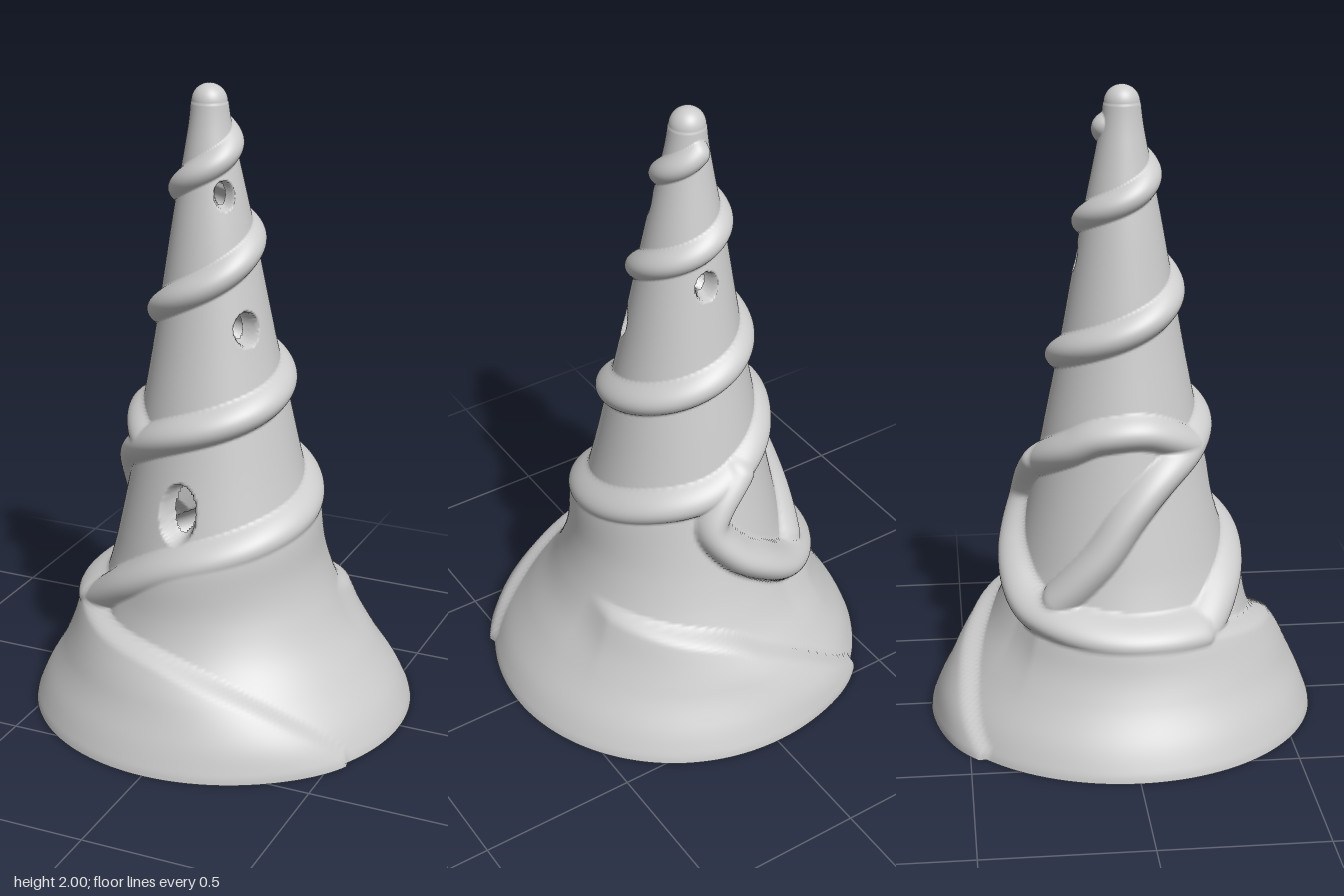
import * as THREE from 'three';

const DEG = Math.PI / 180, TAU = Math.PI * 2;
const spline = (pts, n) => new THREE.SplineCurve(pts.map(p => new THREE.Vector2(p[0], p[1]))).getPoints(n);
const lerpAt = (pts, x) => {
  if (x <= pts[0].x) return pts[0].y;
  for (let i = 1; i < pts.length; i++) {
    const a = pts[i - 1], b = pts[i];
    if (x <= b.x) return a.y + (b.y - a.y) * (x - a.x) / (b.x - a.x);
  }
  return pts[pts.length - 1].y;
};

// Smooth spire: height -> radius
const profile = spline([[0, 0.612], [0.03, 0.603], [0.1, 0.567], [0.2, 0.495], [0.3, 0.425], [0.4, 0.378], [0.5, 0.344],
  [0.6, 0.318], [0.8, 0.272], [1, 0.232], [1.2, 0.192], [1.4, 0.156], [1.6, 0.12], [1.8, 0.08], [1.9, 0.062], [2, 0.052]], 150);
const CAP = 0.055;
function baseRadius(y) {
  const r = lerpAt(profile, y), k = y - (2 - CAP);
  return k > 0 ? Math.min(r, Math.sqrt(Math.max(0, CAP * CAP - k * k))) : r;
}
const axisX = y => -0.024 * y;

// Raised cords: [angle from the front towards +x in degrees, height]
const ridges = [
  { // main climbing spiral
    boost: 1, pts: [[232, 0.47], [252, 0.6], [270, 0.735], [290, 0.83], [315, 0.895], [360, 0.975], [450, 1.08], [540, 1.18],
      [630, 1.28], [720, 1.4], [810, 1.52], [900, 1.6], [990, 1.67], [1080, 1.75], [1170, 1.82], [1260, 1.88]] },
  { // lower turn, joining the main spiral on the right-hand side
    boost: 1, pts: [[-55, 0.38], [-30, 0.48], [0, 0.57], [45, 0.645], [90, 0.705], [130, 0.765], [170, 0.81], [200, 0.87],
      [225, 0.92], [250, 0.97], [285, 0.98], [320, 0.92]] },
  { // loop at the back
    boost: 1.3, pts: [[190, 0.85], [174, 0.77], [168, 0.69], [180, 0.59], [197, 0.51], [215, 0.44], [233, 0.41], [265, 0.38], [300, 0.375]] },
].map(r => ({ boost: r.boost, pts: spline(r.pts.map(p => [p[0] * DEG, p[1]]), r.pts.length * 10) }));

function ridgeHeight(phi, y, radius) {
  const w = 0.07 - 0.017 * y;
  let best = 0;
  for (const { pts, boost } of ridges) {
    let d2 = 1;
    for (let i = 1; i < pts.length; i++) {
      const a = pts[i - 1], b = pts[i];
      if (y < Math.min(a.y, b.y) - w || y > Math.max(a.y, b.y) + w) continue;
      const bx = (b.x - a.x) * radius, by = b.y - a.y;
      for (let k = -1; k < 4; k++) {
        const px = (phi + k * TAU - a.x) * radius, py = y - a.y;
        const t = Math.min(1, Math.max(0, (px * bx + py * by) / (bx * bx + by * by + 1e-9)));
        d2 = Math.min(d2, (px - t * bx) ** 2 + (py - t * by) ** 2);
      }
    }
    const s = 1 - d2 / (w * w);
    if (s > 0) best = Math.max(best, boost * (0.06 - 0.018 * y) * Math.pow(s, 0.9));
  }
  return best;
}

// Overlapping lips: sharp above the edge, fading slowly below it [angle, height, depth]
const lips = [
  // front and back edges of the skirt
  [[-150, 0.39, 0.02], [-120, 0.385, 0.045], [-90, 0.38, 0.06], [-60, 0.36, 0.055], [-30, 0.325, 0.055], [0, 0.285, 0.05],
    [30, 0.2, 0.037], [50, 0.1, 0.025], [62, 0, 0.015]],
  [[98, 0.375, 0], [115, 0.37, 0.025], [140, 0.35, 0.042], [168, 0.31, 0.05], [185, 0.24, 0.045], [202, 0.15, 0.035], [222, 0, 0.018]],
  // swelling below the lower turn
  [[-50, 0.4, 0], [-25, 0.5, 0.025], [0, 0.57, 0.045], [45, 0.645, 0.04], [90, 0.705, 0.035], [130, 0.765, 0.02], [165, 0.8, 0]],
].map(l => ({
  from: l[0][0] * DEG, to: l[l.length - 1][0] * DEG,
  edge: spline(l.map(p => [p[0] * DEG, p[1]]), 70),
  height: spline(l.map(p => [p[0] * DEG, p[2]]), 70),
}));
function lipHeight(phi, y) {
  let best = 0;
  for (const l of lips) {
    for (const p of [phi - TAU, phi]) {
      if (p < l.from || p > l.to) continue;
      const d = lerpAt(l.edge, p) - y;
      const f = d >= 0 ? Math.exp(-((d / 0.15) ** 2)) : Math.max(0, 1 - (d / 0.035) ** 2);
      best = Math.max(best, lerpAt(l.height, p) * f * Math.min(1, (p - l.from) / 0.3));
    }
  }
  return best;
}

// Windows: angle, height, half width, half height
const windows = [[-2, 0.725, 0.06, 0.092], [58, 1.28, 0.046, 0.052], [46, 1.68, 0.034, 0.043], [176, 1.475, 0.038, 0.045]];
function windowDistance(phi, y, radius) {
  let best = 9;
  for (const [deg, wy, hw, hh] of windows) {
    let a = phi - deg * DEG;
    a -= TAU * Math.round(a / TAU);
    best = Math.min(best, Math.hypot(a * radius / hw, (y - wy) / hh));
  }
  return best;
}

// Hollow shell open at the bottom, with window reveals turned inwards
function shellGeometry(cols, rows) {
  const pos = [], hole = [], index = [];
  for (let j = 0; j <= rows; j++) {
    const y = 2 * (1 - Math.pow(1 - j / rows, 1.3));
    const r0 = baseRadius(y);
    for (let i = 0; i < cols; i++) {
      const phi = i / cols * TAU;
      const d = windowDistance(phi, y, r0);
      let r = r0 + Math.max(ridgeHeight(phi, y, r0), lipHeight(phi, y)) * Math.min(1, r0 / 0.04);
      if (d < 1) r -= Math.min(0.06, 0.35 * r0) * Math.min(1, (1 - d) * 6);
      pos.push(axisX(y) + r * Math.sin(phi), y, r * Math.cos(phi));
      hole.push(d < 0.83);
    }
  }
  for (let j = 0; j < rows; j++) {
    for (let i = 0; i < cols; i++) {
      const a = j * cols + i, b = j * cols + (i + 1) % cols, c = b + cols, d = a + cols;
      if (hole[a] && hole[b] && hole[c] && hole[d]) continue;
      index.push(a, b, c, a, c, d);
    }
  }
  const g = new THREE.BufferGeometry();
  g.setAttribute('position', new THREE.Float32BufferAttribute(pos, 3));
  g.setIndex(index);
  g.computeVertexNormals();
  return g;
}

export function createModel() {
  const group = new THREE.Group();
  group.name = 'spiralSpire';
  const material = new THREE.MeshStandardMaterial({ color: 0xcccccc, side: THREE.DoubleSide });
  const shell = new THREE.Mesh(shellGeometry(220, 320), material);
  shell.name = 'spireShell';
  group.add(shell);
  return group;
}
